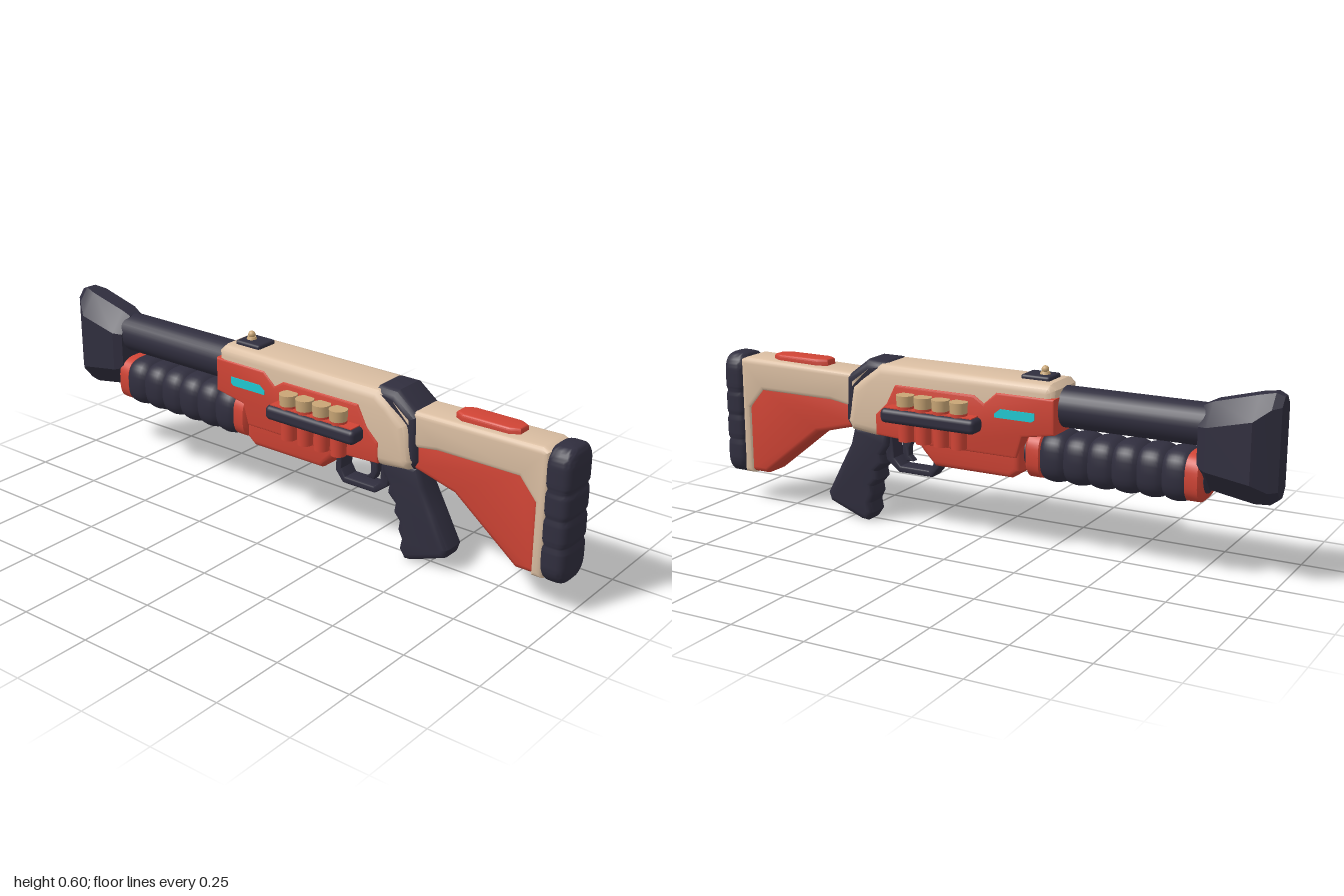
import * as THREE from 'three';
import { mergeVertices, toCreasedNormals } from 'three/addons/utils/BufferGeometryUtils.js';
import { RoundedBoxGeometry } from 'three/addons/geometries/RoundedBoxGeometry.js';

const paint = (name, color) => {
  const m = new THREE.MeshStandardMaterial({ color });
  m.name = name;
  return m;
};

export function createModel() {
  const model = new THREE.Group();
  model.name = 'toyShotgun';
  const dark = paint('darkPlastic', 0x302e3e);
  const red = paint('redPlastic', 0xd04435);
  const cream = paint('creamPlastic', 0xdabea2);
  const tan = paint('tanBrass', 0xc9a676);
  const cyan = paint('cyanGlow', 0x1fc8d2);

  const add = (name, geo, mat, x = 0, y = 0, z = 0) => {
    const mesh = new THREE.Mesh(geo, mat);
    mesh.name = name;
    mesh.position.set(x, y, z);
    model.add(mesh);
    return mesh;
  };

  // Side profile extruded to half width hz, with the bevel kept inside the outline
  const slab = (name, pts, hz, bevel, mat, hole) => {
    const shape = new THREE.Shape(pts.map(([x, y]) => new THREE.Vector2(x, y)));
    if (hole) shape.holes.push(new THREE.Path(hole.map(([x, y]) => new THREE.Vector2(x, y))));
    const geo = new THREE.ExtrudeGeometry(shape, {
      depth: 2 * (hz - bevel), bevelEnabled: bevel > 0, bevelThickness: bevel,
      bevelSize: bevel, bevelOffset: -bevel, bevelSegments: 3,
    });
    geo.translate(0, 0, bevel - hz);
    return add(name, toCreasedNormals(geo, 0.6), mat);
  };

  // Closed skin over a row of rings, capped at both ends
  const loft = (name, rings, mat, crease = 0.7) => {
    const pos = [];
    const n = rings[0].length;
    const mid = (r) => [0, 1, 2].map((k) => r.reduce((s, p) => s + p[k], 0) / n);
    const first = rings[0], last = rings[rings.length - 1];
    const c0 = mid(first), c1 = mid(last);
    for (let j = 0; j < n; j++) {
      const k = (j + 1) % n;
      for (let i = 0; i < rings.length - 1; i++) {
        const a = rings[i][j], b = rings[i][k], c = rings[i + 1][k], d = rings[i + 1][j];
        pos.push(...a, ...b, ...c, ...a, ...c, ...d);
      }
      pos.push(...c0, ...first[k], ...first[j], ...c1, ...last[j], ...last[k]);
    }
    const geo = new THREE.BufferGeometry();
    geo.setAttribute('position', new THREE.Float32BufferAttribute(pos, 3));
    return add(name, toCreasedNormals(mergeVertices(geo), crease), mat);
  };

  // Rounded-square outline: exponent 1 is an ellipse, smaller is boxier
  const outline = (n, p) => Array.from({ length: n }, (_, i) => {
    const a = (i / n) * Math.PI * 2;
    const f = (v) => Math.sign(v) * Math.abs(v) ** p;
    return [f(Math.cos(a)), f(Math.sin(a))];
  });
  const xRing = (x, cy, h, w, p = 0.7) => outline(32, p).map(([c, s]) => [x, cy + h * c, w * s]);

  // Flared muzzle: tall eight-sided sections
  const muzzle = [
    [-1, 0.29, 0.6, 0.035], [-0.975, 0.272, 0.61, 0.055], [-0.93, 0.272, 0.602, 0.088],
    [-0.79, 0.295, 0.565, 0.085], [-0.76, 0.315, 0.55, 0.07],
  ].map(([x, lo, hi, w]) => {
    const t = w * 0.35, c = w * 0.8;
    return [[x, hi, t], [x, hi - c, w], [x, lo + c, w], [x, lo, t],
      [x, lo, -t], [x, lo + c, -w], [x, hi - c, -w], [x, hi, -t]];
  });
  loft('muzzle', muzzle, dark, 0.3);

  // Barrel and magazine tube
  const tube = (name, r, x0, x1, y) =>
    add(name, new THREE.CylinderGeometry(r, r, x1 - x0, 28).rotateZ(Math.PI / 2), dark, (x0 + x1) / 2, y);
  tube('barrel', 0.066, -0.8, -0.25, 0.486);
  tube('magazineTube', 0.055, -0.78, -0.14, 0.33);

  // Ribbed pump with red end caps
  const pump = [];
  const ribs = 6;
  for (let i = 0; i <= ribs * 8; i++) {
    const bump = Math.sqrt(Math.abs(Math.sin((i / 8) * Math.PI)));
    pump.push(xRing(-0.735 + (0.49 * i) / (ribs * 8), 0.328, 0.07 + 0.013 * bump, 0.073 + 0.013 * bump));
  }
  loft('pumpGrip', pump, dark);
  for (const x of [-0.748, -0.222]) {
    const cap = [[-0.03, 0.065], [-0.02, 0.077], [0.02, 0.077], [0.03, 0.065]];
    loft('pumpCap', cap.map(([dx, h]) => xRing(x + dx, 0.328, h, h + 0.003)), red);
  }

  // Receiver: cream shell, red side panels and red lower body
  slab('receiverShell', [[-0.3, 0.44], [-0.3, 0.55], [-0.28, 0.568], [0.34, 0.568], [0.385, 0.535],
    [0.45, 0.48], [0.472, 0.36], [0.455, 0.33], [0.36, 0.32], [0.1, 0.34], [-0.16, 0.4]], 0.088, 0.032, cream);
  slab('receiverPanel', [[-0.302, 0.41], [-0.302, 0.525], [-0.1, 0.525], [-0.055, 0.485], [-0.02, 0.508],
    [0.275, 0.508], [0.31, 0.44], [0.352, 0.4], [0.352, 0.33], [0.16, 0.32], [-0.17, 0.32],
    [-0.19, 0.39]], 0.092, 0.008, red);
  slab('receiverLower', [[-0.18, 0.4], [-0.18, 0.275], [-0.15, 0.25], [0.13, 0.25], [0.17, 0.29],
    [0.2, 0.325], [0.35, 0.325], [0.35, 0.4]], 0.087, 0.02, red);

  // Dark collar wrapping the back of the receiver
  slab('rearCollar', [[0.3, 0.55], [0.33, 0.573], [0.4, 0.573], [0.482, 0.51], [0.486, 0.36],
    [0.465, 0.33], [0.44, 0.36], [0.43, 0.46], [0.37, 0.52]], 0.075, 0.03, dark);

  // Glowing slits
  for (const s of [1, -1]) {
    const slit = slab('glowSlit', [[-0.235, 0.452], [-0.235, 0.474], [-0.115, 0.474], [-0.095, 0.458],
      [-0.095, 0.445], [-0.225, 0.445]], 0.002, 0, cyan);
    slit.position.z = s * 0.093;
  }

  // Side saddles: four shells held by a strap on each side
  for (const s of [1, -1]) {
    for (let i = 0; i < 4; i++) {
      const x = 0.022 + i * 0.066;
      add('shellBody', new THREE.CylinderGeometry(0.027, 0.025, 0.12, 20), red, x, 0.392, s * 0.113);
      add('shellHead', new THREE.CylinderGeometry(0.03, 0.028, 0.036, 20), tan, x, 0.468, s * 0.115);
    }
    add('shellStrap', new RoundedBoxGeometry(0.35, 0.048, 0.065, 3, 0.016), dark, 0.125, 0.415, s * 0.117);
    add('strapTrim', new THREE.BoxGeometry(0.32, 0.008, 0.046), red, 0.125, 0.438, s * 0.113);
  }

  // Front sight
  add('sightBase', new RoundedBoxGeometry(0.1, 0.022, 0.085, 2, 0.008), dark, -0.21, 0.57);
  add('sightFoot', new THREE.CylinderGeometry(0.014, 0.018, 0.01, 16), tan, -0.225, 0.584);
  add('sightBead', new THREE.SphereGeometry(0.012, 16, 12), tan, -0.225, 0.596);

  // Pistol grip with finger swells
  slab('pistolGrip', [[0.33, 0.335], [0.47, 0.335], [0.487, 0.27], [0.53, 0.19], [0.585, 0.085], [0.575, 0.055],
    [0.45, 0.008], [0.425, 0.006], [0.405, 0.035], [0.412, 0.07], [0.398, 0.1], [0.402, 0.13], [0.38, 0.155],
    [0.385, 0.185], [0.355, 0.215], [0.36, 0.245], [0.335, 0.28]], 0.047, 0.02, dark);

  // Trigger guard and trigger
  slab('triggerGuard', [[0.15, 0.31], [0.145, 0.23], [0.175, 0.193], [0.3, 0.193], [0.35, 0.23], [0.365, 0.33],
    [0.2, 0.33]], 0.032, 0.006, dark,
  [[0.19, 0.305], [0.325, 0.305], [0.32, 0.24], [0.295, 0.215], [0.185, 0.215], [0.168, 0.24], [0.17, 0.28]]);
  slab('trigger', [[0.255, 0.32], [0.295, 0.32], [0.298, 0.26], [0.285, 0.23], [0.255, 0.232],
    [0.272, 0.25], [0.272, 0.275]], 0.014, 0.004, dark);

  // Stock: cream frame around a red body
  slab('stockFrame', [[0.44, 0.4], [0.44, 0.522], [0.9, 0.53], [0.925, 0.52], [0.925, 0.115], [0.885, 0.115],
    [0.885, 0.35], [0.83, 0.415], [0.55, 0.415]], 0.066, 0.018, cream);
  slab('stockBody', [[0.46, 0.42], [0.56, 0.445], [0.84, 0.445], [0.9, 0.38], [0.9, 0.12], [0.83, 0.12],
    [0.61, 0.295], [0.46, 0.335]], 0.06, 0.018, red);

  // Cheek rest on top of the stock
  const rest = [[-0.11, 0.022], [-0.08, 0.039], [0.08, 0.039], [0.11, 0.022],
    [0.11, -0.022], [0.08, -0.039], [-0.08, -0.039], [-0.11, -0.022]];
  const cheek = slab('cheekRest', rest, 0.02, 0.008, red);
  cheek.rotation.x = -Math.PI / 2;
  cheek.position.set(0.695, 0.526, 0);

  // Butt pad: upright rounded pad with shallow grooves
  const pad = [];
  const y0 = 0.11, y1 = 0.535, steps = 68;
  for (let i = 0; i <= steps; i++) {
    const y = y0 + ((y1 - y0) * i) / steps;
    const t = Math.min(1, (y - y0) / 0.06, (y1 - y) / 0.06);
    const round = Math.sqrt(Math.max(0, 1 - (1 - t) ** 2));
    const groove = [0.23, 0.318, 0.405].reduce((g, v) => g + Math.exp(-(((y - v) / 0.009) ** 2)), 0);
    const w = 0.035 + 0.039 * round - 0.003 * groove;
    const d = 0.028 + 0.017 * round - 0.006 * groove;
    pad.push(outline(32, 0.55).map(([c, s]) => [0.955 + d * s, y, w * c]));
  }
  loft('buttPad', pad, dark);

  return model;
}
